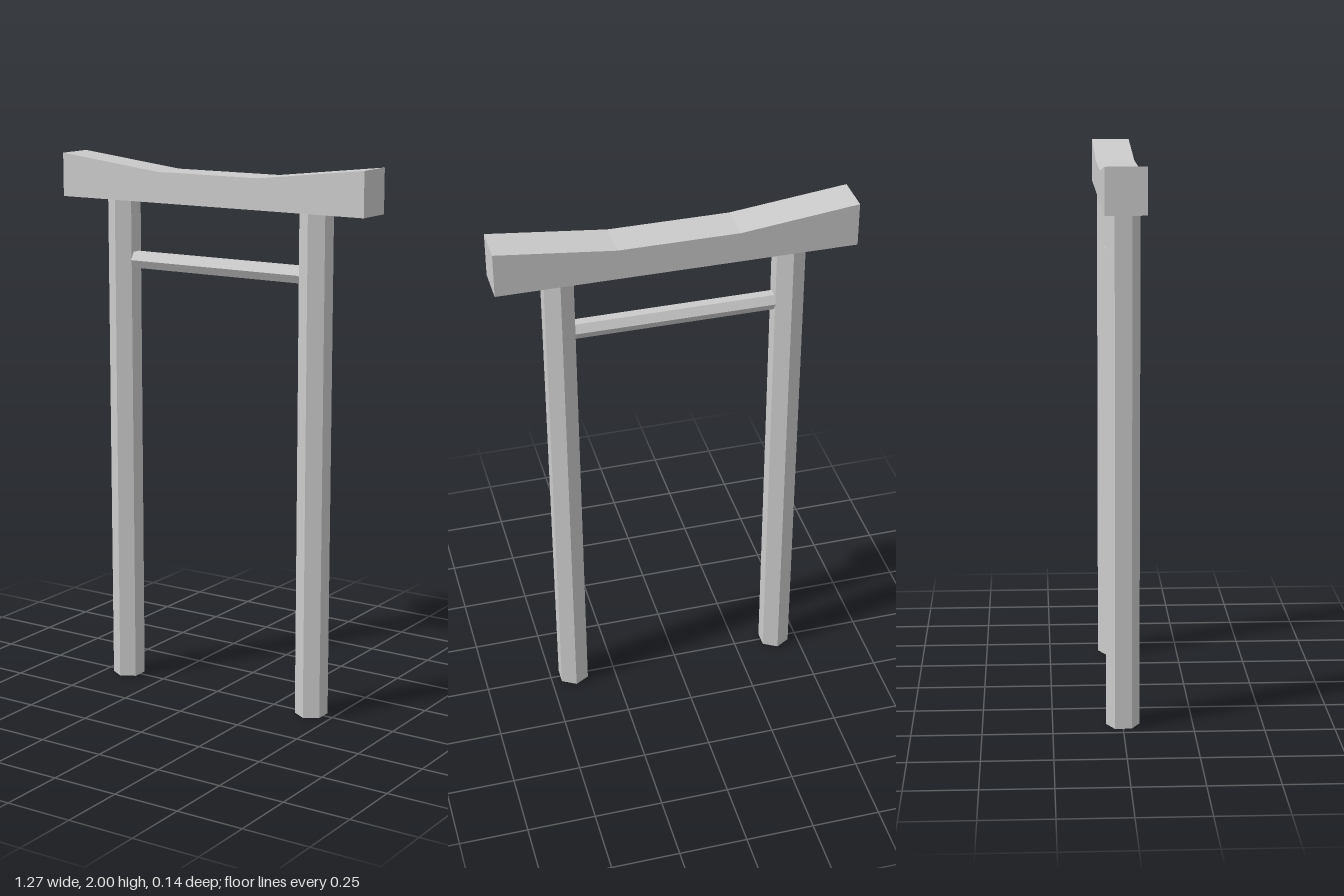
import * as THREE from 'three';

export function createModel() {
  const group = new THREE.Group();
  const material = new THREE.MeshStandardMaterial({
    color: 0xcccccc, flatShading: true, side: THREE.DoubleSide,
  });
  const add = (name, geometry, x, y, z) => {
    const mesh = new THREE.Mesh(geometry, material);
    mesh.name = name;
    mesh.position.set(x, y, z);
    group.add(mesh);
    return mesh;
  };

  // Hexagonal pillars, hollow and open at the ends
  const bottom = 1.84, pillarX = 0.411;
  for (const side of [-1, 1]) {
    const geometry = new THREE.CylinderGeometry(0.06, 0.06, bottom, 6, 1, true);
    add(side > 0 ? 'leftPillar' : 'rightPillar', geometry, side * pillarX, bottom / 2, 0);
  }

  // Hexagonal tie bar between the pillars
  const bar = new THREE.CylinderGeometry(0.034, 0.034, 0.72, 6, 1, true);
  bar.rotateZ(Math.PI / 2);
  add('tieBar', bar, 0, 1.617, 0);

  // Top beam, flat below, rising towards both ends
  const half = 0.637, bend = 0.215, depth = 0.142;
  const profile = new THREE.Shape([
    [-half, bottom], [half, bottom], [half, 2],
    [bend, 1.952], [-bend, 1.952], [-half, 2],
  ].map(([x, y]) => new THREE.Vector2(x, y)));
  const beam = new THREE.ExtrudeGeometry(profile, { depth, bevelEnabled: false });
  add('topBeam', beam, 0, 0, -depth / 2);

  return group;
}
